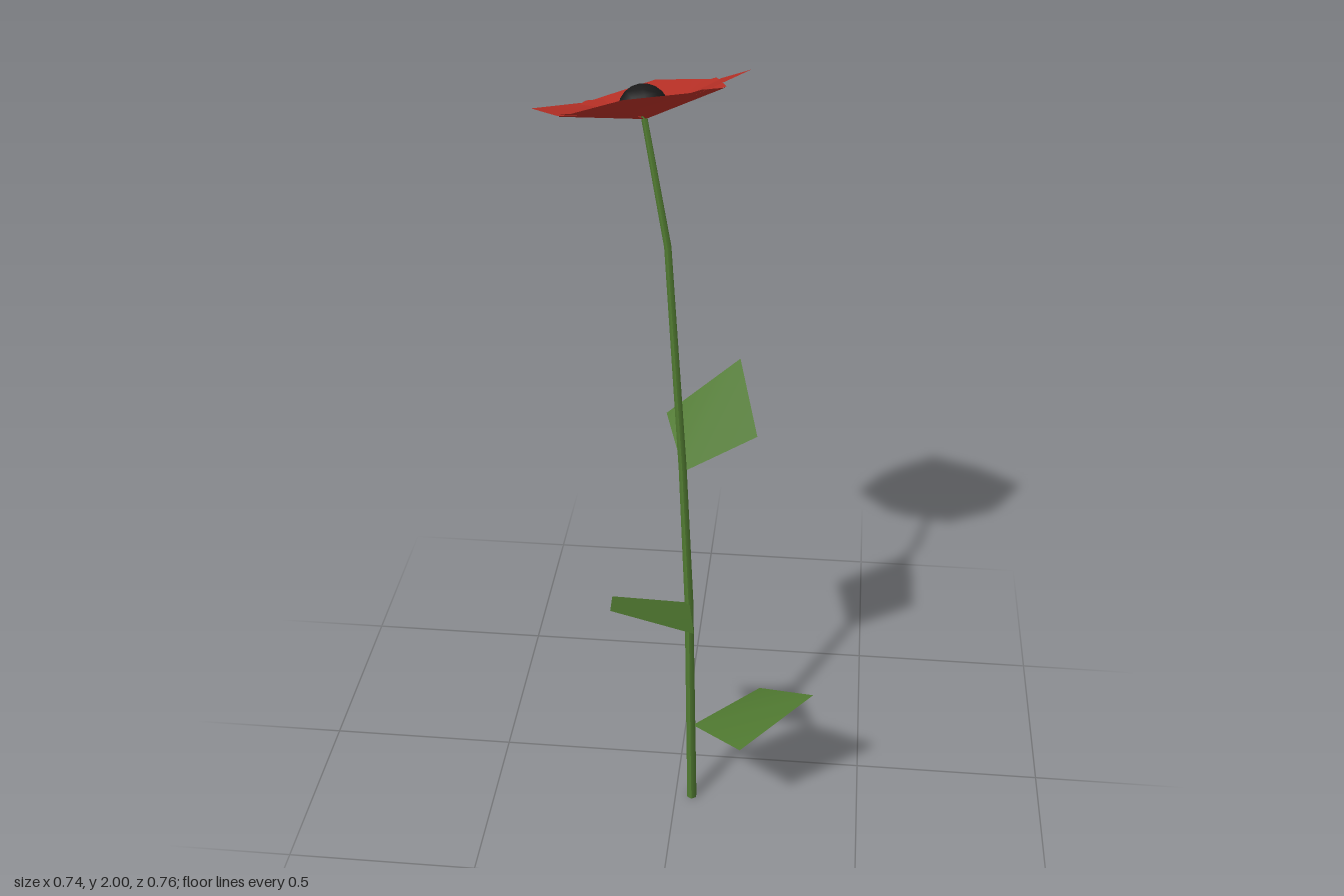
import * as THREE from 'three';

const petalRed = new THREE.MeshStandardMaterial({ color: 0xb83026, side: THREE.DoubleSide });
petalRed.name = 'petal red';
const leafGreen = new THREE.MeshStandardMaterial({ color: 0x4f7830, side: THREE.DoubleSide });
leafGreen.name = 'leaf green';
const seedBlack = new THREE.MeshStandardMaterial({ color: 0x1a1a1a });
seedBlack.name = 'seed black';

// Kite-shaped blade growing along +z, folded along its midrib
function blade(halfWidth, sideZ, sideY, tipZ, tipY) {
  const g = new THREE.BufferGeometry();
  g.setAttribute('position', new THREE.Float32BufferAttribute([
    0, 0, 0,
    halfWidth, sideY, sideZ,
    0, tipY, tipZ,
    -halfWidth, sideY, sideZ,
  ], 3));
  g.setIndex([0, 2, 1, 0, 3, 2]);
  g.computeVertexNormals();
  return g;
}

function add(parent, name, geometry, material) {
  const mesh = new THREE.Mesh(geometry, material);
  mesh.name = name;
  parent.add(mesh);
  return mesh;
}

// Tapered stalk: each ring of a cylinder is moved onto a point of the path
function stemGeometry() {
  const path = [
    [0.045, 0, 0.166], [0.03, 0.62, 0.108], [0.008, 1.0, 0.055],
    [-0.035, 1.58, -0.015], [-0.1, 1.875, -0.104],
  ];
  const steps = path.length - 1;
  const g = new THREE.CylinderGeometry(0.008, 0.014, 1, 6, steps);
  const pos = g.attributes.position;
  for (let i = 0; i < pos.count; i++) {
    const [x, y, z] = path[Math.round((pos.getY(i) + 0.5) * steps)];
    pos.setXYZ(i, pos.getX(i) + x, y, pos.getZ(i) + z);
  }
  g.computeVertexNormals();
  return g;
}

export function createModel() {
  const model = new THREE.Group();
  model.name = 'flower';

  add(model, 'stem', stemGeometry(), leafGreen);

  // Three leaves: base point and horizontal heading
  const leafGeometry = blade(0.131, 0.157, 0.055, 0.324, 0.168);
  const leaves = [
    [[0.045, 0.236, 0.145], [0.32, 0.045]],
    [[0.03, 0.615, 0.1], [-0.17, 0.28]],
    [[0.01, 0.992, 0.055], [0.12, -0.3]],
  ];
  leaves.forEach(([base, [dx, dz]], i) => {
    const leaf = add(model, `leaf${i + 1}`, leafGeometry, leafGreen);
    leaf.position.set(...base);
    leaf.rotation.y = Math.atan2(dx, dz);
  });

  // Flower head, tilted in line with the end of the stem
  const head = new THREE.Group();
  head.name = 'flowerHead';
  head.position.set(-0.097, 1.87, -0.106);
  head.quaternion.setFromUnitVectors(
    new THREE.Vector3(0, 1, 0),
    new THREE.Vector3(-0.216, 1, -0.268).normalize(),
  );
  model.add(head);

  // Four large upper petals, four smaller ones in the gaps below
  const petalGeometry = blade(0.148, 0.176, 0.047, 0.265, 0.064);
  for (let i = 0; i < 8; i++) {
    const lower = i % 2 === 1;
    const petal = add(head, lower ? 'lowerPetal' : 'upperPetal', petalGeometry, petalRed);
    petal.rotation.y = (i * Math.PI) / 4;
    petal.scale.setScalar(lower ? 0.87 : 1);
    petal.position.y = lower ? -0.006 : 0;
  }

  // Dark seed head
  const dome = new THREE.SphereGeometry(0.062, 10, 5, 0, Math.PI * 2, 0, Math.PI / 2);
  add(head, 'seedHead', dome, seedBlack).position.y = 0.015;

  return model;
}
